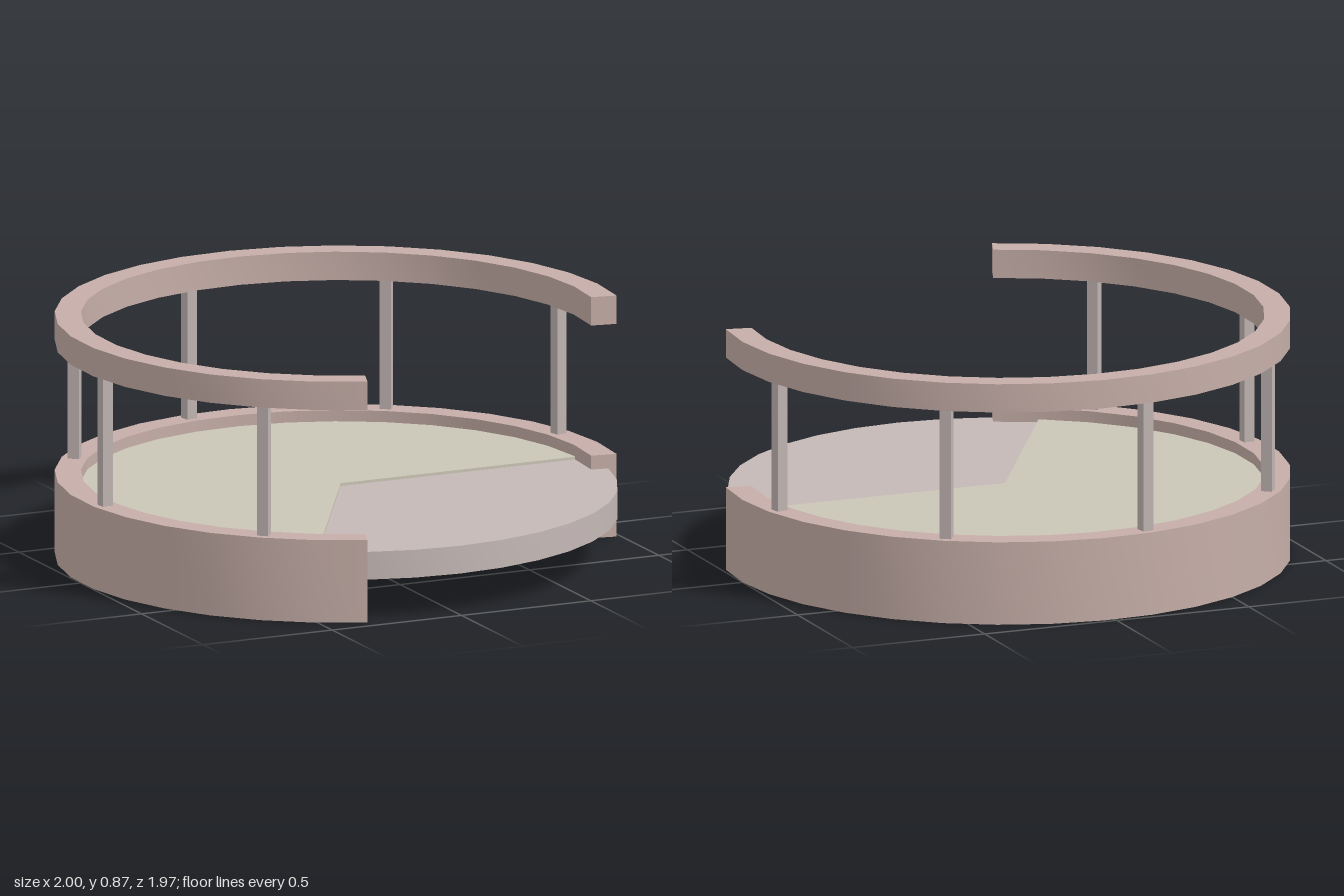
import * as THREE from 'three';
import { toCreasedNormals } from 'three/addons/utils/BufferGeometryUtils.js';

const rad = THREE.MathUtils.degToRad;

// Arc slab seen from above: angles in degrees from +x towards +z.
// An inner radius of 0 gives a pie slice.
function arcSlab(inner, outer, from, to, bottom, top, segments) {
  const points = [];
  const addArc = (r, a, b) => {
    for (let i = 0; i <= segments; i++) {
      const t = rad(a + ((b - a) * i) / segments);
      points.push(new THREE.Vector2(r * Math.cos(t), r * Math.sin(t)));
    }
  };
  addArc(outer, from, to);
  if (inner > 0) addArc(inner, to, from);
  else points.push(new THREE.Vector2(0, 0));
  const geometry = new THREE.ExtrudeGeometry(new THREE.Shape(points), {
    depth: top - bottom, bevelEnabled: false,
  });
  geometry.rotateX(Math.PI / 2);
  geometry.translate(0, top, 0);
  return toCreasedNormals(geometry, rad(30));
}

export function createModel() {
  const model = new THREE.Group();
  model.name = 'roundBalcony';
  const wallMaterial = new THREE.MeshStandardMaterial({ color: 0xc6aea8 });
  const floorMaterial = new THREE.MeshStandardMaterial({ color: 0xcac6b6 });
  const stepMaterial = new THREE.MeshStandardMaterial({ color: 0xc4b8b6 });
  const postMaterial = new THREE.MeshStandardMaterial({ color: 0xc0b4b2 });

  const add = (name, geometry, material) => {
    const mesh = new THREE.Mesh(geometry, material);
    mesh.name = name;
    model.add(mesh);
    return mesh;
  };

  // Open ring wall and matching top rail
  const start = 110, end = 370;
  add('baseWall', arcSlab(0.908, 1, start, end, 0, 0.297, 24), wallMaterial);
  add('topRail', arcSlab(0.908, 1, start, end, 0.765, 0.867, 24), wallMaterial);

  // Thin floor and the thicker entrance slab filling the rest of the circle
  add('floor', arcSlab(0, 0.95, 120, 360, 0.247, 0.257, 24), floorMaterial);
  add('entranceSlab', arcSlab(0, 0.97, 0, 120, 0.147, 0.247, 12), stepMaterial);

  // Square posts, evenly spaced and turned to face the centre
  const count = 6, radius = 0.954;
  const postGeometry = new THREE.BoxGeometry(0.04, 0.472, 0.04);
  for (let i = 0; i < count; i++) {
    const angle = rad(start + ((end - start) * (i + 0.5)) / count);
    const post = add(`railPost${i + 1}`, postGeometry, postMaterial);
    post.position.set(radius * Math.cos(angle), 0.531, radius * Math.sin(angle));
    post.rotation.y = -angle;
  }

  model.position.z = 0.015;
  return model;
}
